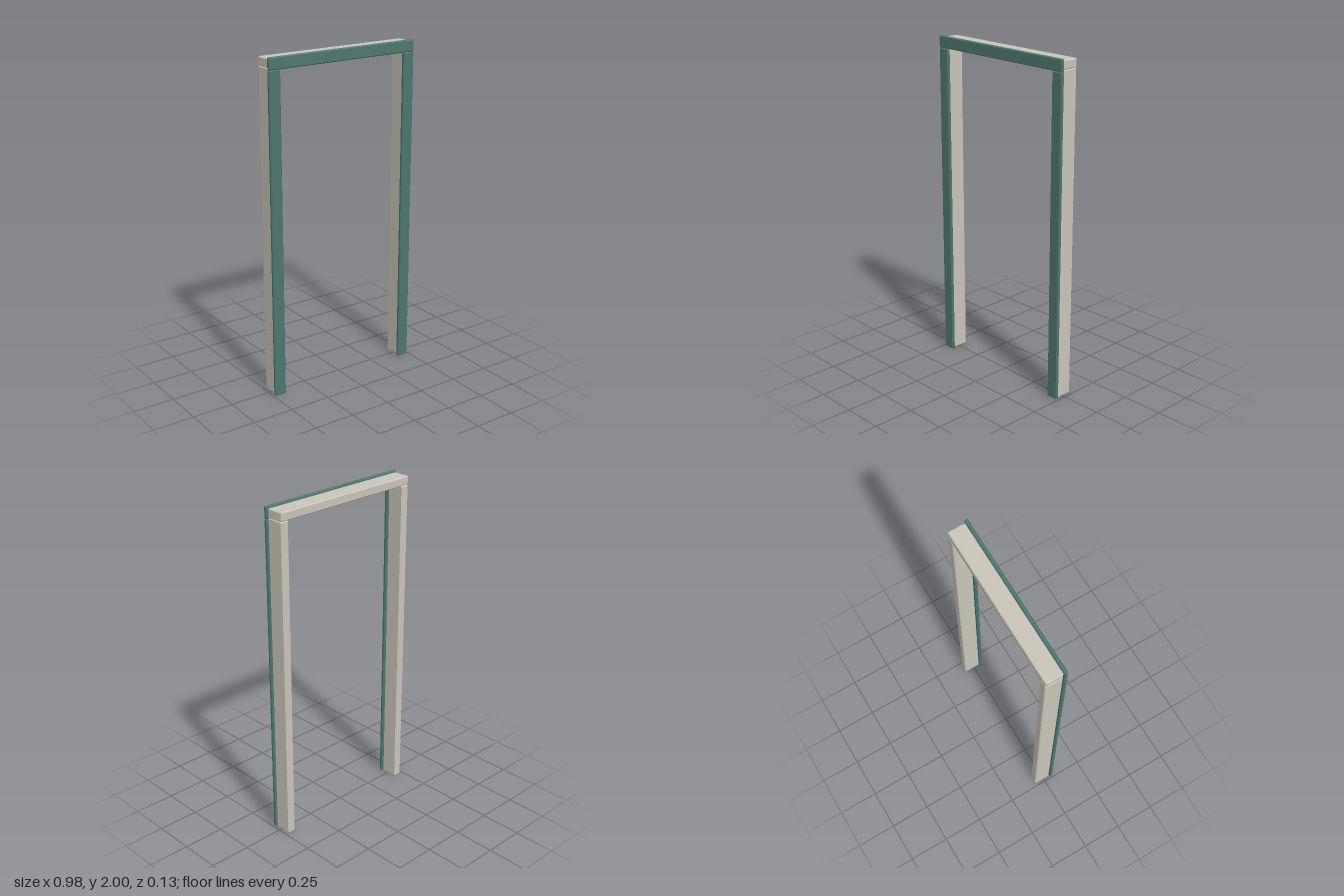
import * as THREE from 'three';
import { ConvexGeometry } from 'three/addons/geometries/ConvexGeometry.js';

// Box between two corners with all edges chamfered by c
function chamferedBox(min, max, c) {
  const half = max.map((v, i) => (v - min[i]) / 2);
  const points = [];
  for (const sx of [-1, 1]) for (const sy of [-1, 1]) for (const sz of [-1, 1]) {
    const s = [sx, sy, sz];
    // each corner becomes three points, one on each neighbouring face
    for (let face = 0; face < 3; face++) {
      points.push(new THREE.Vector3(...s.map((d, i) => d * (half[i] - (i === face ? 0 : c)))));
    }
  }
  const geometry = new ConvexGeometry(points);
  geometry.translate(...min.map((v, i) => (v + max[i]) / 2));
  return geometry;
}

export function createModel() {
  const model = new THREE.Group();
  model.name = 'doorFrame';

  const trimPaint = new THREE.MeshStandardMaterial({ color: 0x4d766e });
  trimPaint.name = 'green trim';
  const jambPaint = new THREE.MeshStandardMaterial({ color: 0xc9c5b9 });
  jambPaint.name = 'warm grey jamb';

  const add = (name, min, max, chamfer, material) => {
    const mesh = new THREE.Mesh(chamferedBox(min, max, chamfer), material);
    mesh.name = name;
    model.add(mesh);
  };

  const back = -0.063, joint = 0.042, front = 0.063;

  // Uprights: deep jamb behind, wider flat casing in front
  for (const [side, s] of [['left', 1], ['right', -1]]) {
    const span = (inner, outer) => (s > 0 ? [inner, outer] : [-outer, -inner]);
    const [j0, j1] = span(0.43, 0.481);
    add(side + 'Jamb', [j0, 0, back], [j1, 1.938, joint], 0.005, jambPaint);
    const [c0, c1] = span(0.418, 0.491);
    add(side + 'Casing', [c0, 0, joint], [c1, 1.93, front], 0.005, trimPaint);
  }

  // Head pieces across the top
  add('headJamb', [-0.481, 1.938, back], [0.481, 1.99, joint], 0.005, jambPaint);
  add('headCasing', [-0.491, 1.93, joint], [0.491, 2, front], 0.005, trimPaint);

  return model;
}
